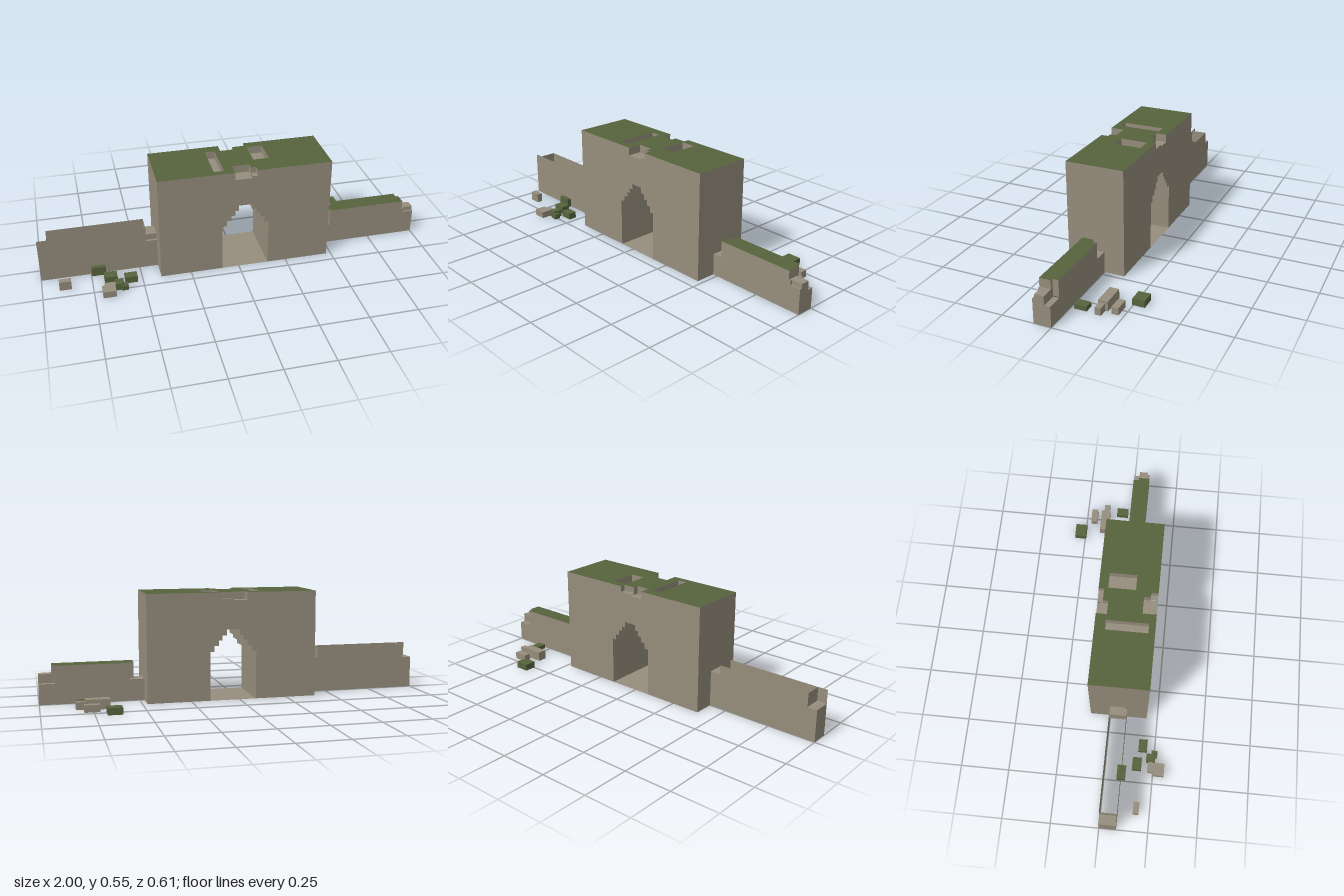
import * as THREE from 'three';
import { mergeGeometries } from 'three/addons/utils/BufferGeometryUtils.js';

const stone = new THREE.MeshStandardMaterial({ color: 0x968d7c, side: THREE.DoubleSide });
stone.name = 'stone';
const moss = new THREE.MeshStandardMaterial({ color: 0x57643d, side: THREE.DoubleSide });
moss.name = 'moss';

const FACES = ['px', 'nx', 'py', 'ny', 'pz', 'nz'];
const OPEN = 'px nx py pz nz'; // a block without its underside

// Only the chosen faces of a box given by its limits
function shell(x0, x1, y0, y1, z0, z1, faces = OPEN) {
  const g = new THREE.BoxGeometry(x1 - x0, y1 - y0, z1 - z0);
  g.translate((x0 + x1) / 2, (y0 + y1) / 2, (z0 + z1) / 2);
  const all = Array.from(g.index.array);
  g.setIndex(faces.split(' ').flatMap((f) => {
    const i = FACES.indexOf(f) * 6;
    return all.slice(i, i + 6);
  }));
  g.clearGroups();
  return g;
}

const outline = (pts) => pts.map(([x, y]) => new THREE.Vector2(x, y));
const sheet = (pts, z) => new THREE.ShapeGeometry(new THREE.Shape(outline(pts))).translate(0, 0, z);

export function createModel() {
  const model = new THREE.Group();
  model.name = 'ruinedGate';
  const add = (name, geometries, material, parent = model) => {
    const mesh = new THREE.Mesh(mergeGeometries(geometries), material);
    mesh.name = name;
    parent.add(mesh);
  };

  // Gatehouse limits and stepped arch profile
  const L = -0.405, R = 0.475, H = 0.55, B = -0.105, F = 0.193;
  const arch = [
    [-0.087, 0], [-0.087, 0.25], [-0.062, 0.25], [-0.062, 0.28], [-0.04, 0.28], [-0.04, 0.307],
    [-0.02, 0.307], [-0.02, 0.333], [0, 0.333], [0, 0.362], [0.067, 0.362], [0.067, 0.333],
    [0.09, 0.333], [0.09, 0.307], [0.11, 0.307], [0.11, 0.28], [0.132, 0.28], [0.132, 0.25],
    [0.154, 0.25], [0.154, 0],
  ];
  // Gate face with a broken top edge starting at x = a, stepping at b
  const face = (a, b, z) => sheet([
    [L, 0], ...arch, [R, 0], [R, H], [0.093, H], [0.093, 0.52], [b, 0.52], [b, 0.51], [a, 0.51], [a, H], [L, H],
  ], z);
  const gate = new THREE.Group();
  gate.name = 'gatehouse';
  model.add(gate);
  add('gateFront', [face(-0.02, 0.067, F)], stone, gate);
  const back = face(-0.04, 0.03, B);
  // Turn the back face outward by reversing its triangles
  back.setIndex(Array.from(back.index.array).reverse());
  const n = back.attributes.normal;
  for (let i = 0; i < n.count; i++) n.setZ(i, -1);
  add('gateBack', [back], stone, gate);
  add('gateSides', [shell(L, R, 0, H, B, F, 'px nx')], stone, gate);

  // Passage lining
  const lining = [];
  for (let i = 0; i < arch.length - 1; i++) {
    const [x0, y0] = arch[i], [x1, y1] = arch[i + 1];
    const strip = new THREE.PlaneGeometry(Math.hypot(x1 - x0, y1 - y0), F - B);
    strip.rotateX(Math.PI / 2).rotateZ(Math.atan2(y1 - y0, x1 - x0));
    lining.push(strip.translate((x0 + x1) / 2, (y0 + y1) / 2, (F + B) / 2));
  }
  add('passageLining', lining, stone, gate);
  const floor = new THREE.PlaneGeometry(0.241, F - B).rotateX(-Math.PI / 2);
  add('passageFloor', [floor.translate(0.0335, 0, (F + B) / 2)], stone, gate);

  // Mossy roof with two pits and notched edges
  const roof = new THREE.Shape(outline([
    [L, -F], [-0.02, -F], [-0.02, -0.123], [0.067, -0.123], [0.067, -0.157], [0.093, -0.157], [0.093, -F],
    [R, -F], [R, -B], [0.093, -B], [0.093, 0.077], [0.03, 0.077], [0.03, 0.05], [-0.04, 0.05], [-0.04, -B], [L, -B],
  ]));
  const pits = [[-0.12, -0.07, -0.053, 0.16], [0.1, 0.18, -0.06, 0.08]];
  for (const [x0, x1, z0, z1] of pits) {
    roof.holes.push(new THREE.Path(outline([[x0, -z0], [x1, -z0], [x1, -z1], [x0, -z1]])));
  }
  add('roof', [new THREE.ShapeGeometry(roof).rotateX(-Math.PI / 2).translate(0, H, 0)], moss, gate);
  add('roofPits', pits.map(([x0, x1, z0, z1]) => shell(x0, x1, 0.51, H, z0, z1, 'px nx ny pz nz')), stone, gate);
  add('roofNotches', [
    shell(-0.02, 0.067, 0.51, H, 0.123, F, 'nx ny nz'),
    shell(-0.02, 0.067, 0.51, H, 0.123, 0.157, 'px'),
    shell(0.067, 0.093, 0.52, H, 0.157, F, 'px ny nz'),
    shell(-0.04, 0.03, 0.51, H, B, -0.05, 'nx ny pz'),
    shell(-0.04, 0.03, 0.51, H, -0.077, -0.05, 'px'),
    shell(0.03, 0.093, 0.52, H, B, -0.077, 'px ny pz'),
  ], stone, gate);

  // Hollow wall on the -x side
  const D = 0.088;
  add('rightWall', [
    shell(-1, -0.95, 0, 0.165, 0, D, 'nx py pz nz'),
    shell(-1, -0.95, 0.165, 0.235, 0, D, 'pz'),
    shell(-0.95, -0.46, 0, 0.235, 0, D, 'pz nz'),
    shell(-0.95, -0.46, 0.165, 0.235, 0, D, 'nx px'),
    shell(-0.46, L, 0, 0.155, 0, D, 'py pz nz'),
    shell(-0.46, L, 0.155, 0.187, 0, 0.075, 'py pz nz'),
  ], stone);

  // Crumbling wall on the +x side
  add('leftWall', [
    shell(R, 0.525, 0, 0.11, 0, D, 'py pz nz'),
    shell(0.525, 0.55, 0, 0.11, 0, D, 'py pz nz'),
    shell(0.525, 0.55, 0.11, 0.195, 0.03, D, 'nx pz nz'),
    shell(0.55, 0.92, 0, 0.195, 0, D, 'pz nz'),
    shell(0.55, 0.92, 0.11, 0.195, 0, 0.03, 'nx px'),
    shell(0.92, 0.935, 0, 0.195, 0.03, D, 'pz nz'),
    shell(0.92, 0.935, 0.15, 0.195, 0.03, D, 'px'),
    shell(0.92, 1, 0, 0.105, 0, 0.03, 'px py nz'),
    shell(0.935, 1, 0, 0.15, 0.03, 0.077, 'px py nz'),
    shell(0.935, 0.945, 0, 0.15, 0.077, D, 'px py pz'),
    shell(0.945, 1, 0, 0.128, 0.077, D, 'px py pz'),
    shell(0.945, 1, 0.128, 0.15, 0.03, 0.077, 'pz'),
  ], stone);
  add('leftWallMoss', [
    shell(0.525, 0.55, 0, 0.195, 0.03, D, 'py'),
    shell(0.55, 0.92, 0, 0.195, 0, D, 'py'),
    shell(0.92, 0.935, 0, 0.195, 0.03, D, 'py'),
  ], moss);

  // Fallen blocks: x0, x1, z0, z1, height
  const block = ([x0, x1, z0, z1, h]) => shell(x0, x1, 0, h, z0, z1);
  add('stoneRubble', [
    [-0.915, -0.855, 0.165, 0.195, 0.048], [-0.71, -0.645, 0.25, 0.307, 0.034],
    [-0.695, -0.64, 0.22, 0.25, 0.028], [0.72, 0.795, -0.225, -0.19, 0.036],
    [0.665, 0.715, -0.168, -0.12, 0.05], [0.715, 0.785, -0.168, -0.12, 0.05],
    [0.785, 0.83, -0.155, -0.125, 0.038],
  ].map(block), stone);
  add('mossyRubble', [
    [-0.747, -0.675, 0.065, 0.11, 0.048], [-0.69, -0.625, 0.14, 0.188, 0.036],
    [-0.59, -0.527, 0.165, 0.21, 0.034], [-0.642, -0.6, 0.21, 0.257, 0.036],
    [-0.615, -0.58, 0.235, 0.266, 0.027], [0.62, 0.692, -0.307, -0.245, 0.034],
    [0.777, 0.823, -0.081, -0.017, 0.024],
  ].map(block), moss);

  return model;
}
